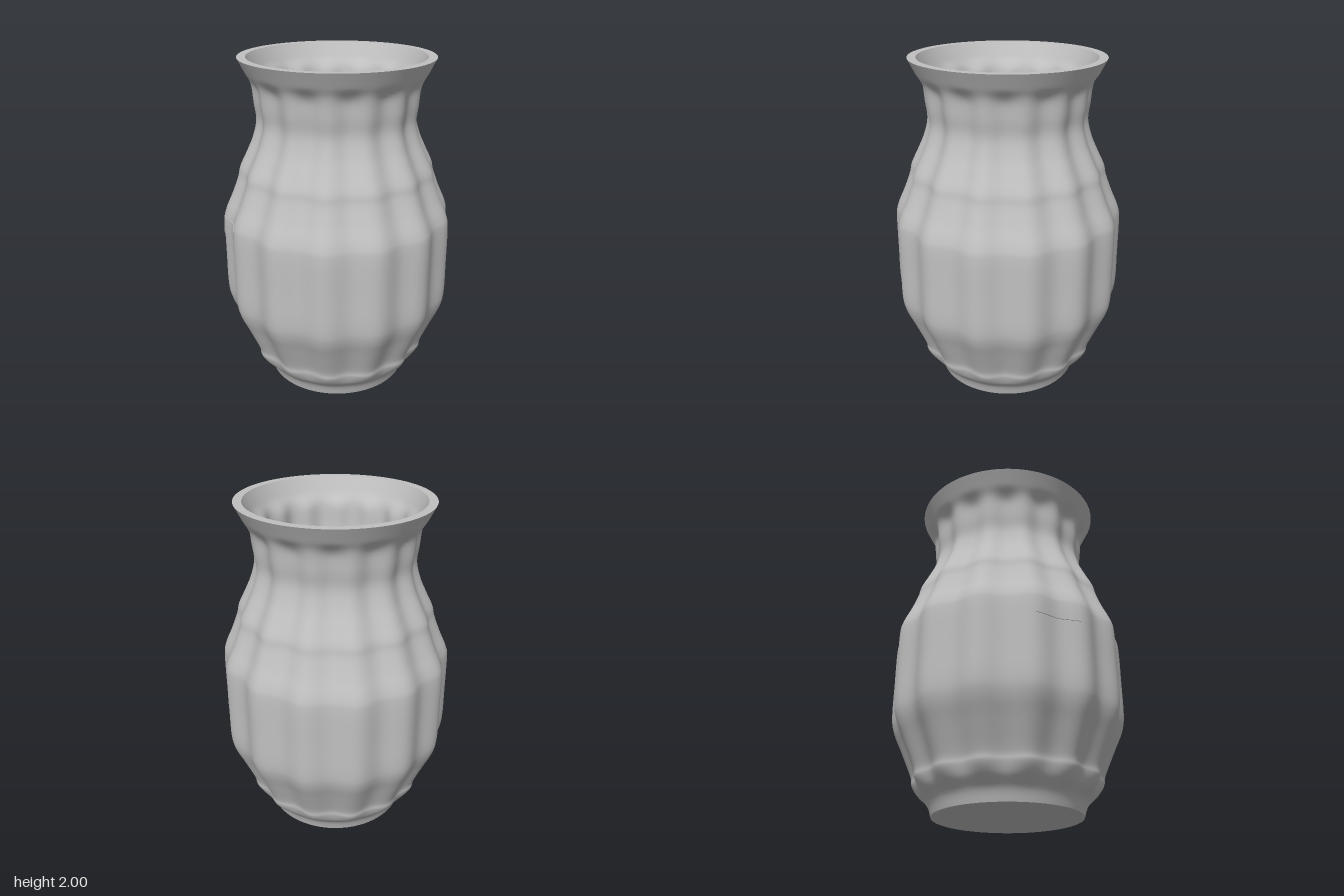
import * as THREE from 'three';
import { mergeVertices } from 'three/addons/utils/BufferGeometryUtils.js';

const FLUTES = 14;
const WALL = 0.05;

// Height-by-height crest radius of the outside: [radius, y]
const PROFILE = [
  [0.43, 0], [0.455, 0.07], [0.515, 0.13], [0.55, 0.185], [0.56, 0.24], [0.622, 0.386],
  [0.672, 0.5], [0.69, 0.6], [0.69, 0.8], [0.688, 1.02], [0.674, 1.1], [0.63, 1.2],
  [0.592, 1.3], [0.576, 1.365], [0.535, 1.45], [0.495, 1.54], [0.47, 1.64],
  [0.48, 1.74], [0.492, 1.85], [0.525, 1.92], [0.565, 2],
];

// Fluting fades out towards the round foot and lip
const depth = (y) => 0.026 * THREE.MathUtils.smoothstep(y, 0.06, 0.2)
  * (1 - THREE.MathUtils.smoothstep(y, 1.82, 1.92));
const fluteScale = (angle, y) => 1 - depth(y) * (1 - Math.cos(FLUTES * angle));

// Revolve a profile, press the flutes into it and smooth across the seam
function flutedLathe(points) {
  const lathe = new THREE.LatheGeometry(points, FLUTES * 16);
  lathe.deleteAttribute('uv');
  lathe.deleteAttribute('normal');
  const pos = lathe.attributes.position;
  for (let i = 0; i < pos.count; i++) {
    const x = pos.getX(i), y = pos.getY(i), z = pos.getZ(i);
    const s = fluteScale(Math.atan2(z, x), y);
    pos.setXYZ(i, x * s, y, z * s);
  }
  const geometry = mergeVertices(lathe, 1e-5);
  geometry.computeVertexNormals();
  return geometry;
}

export function createModel() {
  const group = new THREE.Group();
  const clay = new THREE.MeshStandardMaterial({ color: 0xc0c0c0 });
  clay.name = 'grey clay';

  const add = (name, geometry) => {
    const mesh = new THREE.Mesh(geometry, clay);
    mesh.name = name;
    group.add(mesh);
  };

  const curve = new THREE.SplineCurve(PROFILE.map(([r, y]) => new THREE.Vector2(r, y)));
  const outer = curve.getPoints(100);
  const floorY = 0.06;
  const inner = outer.filter((p) => p.y >= floorY)
    .map((p) => new THREE.Vector2(p.x - WALL, p.y)).reverse();
  const floorEdge = inner[inner.length - 1];

  add('outerWall', flutedLathe(outer));
  add('rim', flutedLathe([outer[outer.length - 1], inner[0]]));
  add('innerWall', flutedLathe(inner));
  add('floor', flutedLathe([floorEdge, new THREE.Vector2(0, floorEdge.y)]));
  add('base', flutedLathe([new THREE.Vector2(0, 0), outer[0]]));

  // Small raised plate that follows the flutes on the front
  const radii = outer.map((p) => p.x);
  const radiusAt = (y) => {
    const i = Math.max(1, outer.findIndex((p) => p.y >= y));
    const t = (y - outer[i - 1].y) / (outer[i].y - outer[i - 1].y);
    return THREE.MathUtils.lerp(radii[i - 1], radii[i], t);
  };
  const plate = new THREE.BoxGeometry(0.24, 0.11, 0.006, 24, 8, 1);
  plate.translate(-0.3, 1.005, 0);
  const pos = plate.attributes.position;
  for (let i = 0; i < pos.count; i++) {
    const x = pos.getX(i), y = pos.getY(i);
    let z = 0.6;
    for (let k = 0; k < 12; k++) {
      const r = radiusAt(y) * fluteScale(Math.atan2(z, x), y);
      z = Math.sqrt(r * r - x * x);
    }
    pos.setZ(i, z + 0.002 + pos.getZ(i));
  }
  plate.computeVertexNormals();
  add('frontPlate', plate);

  return group;
}
